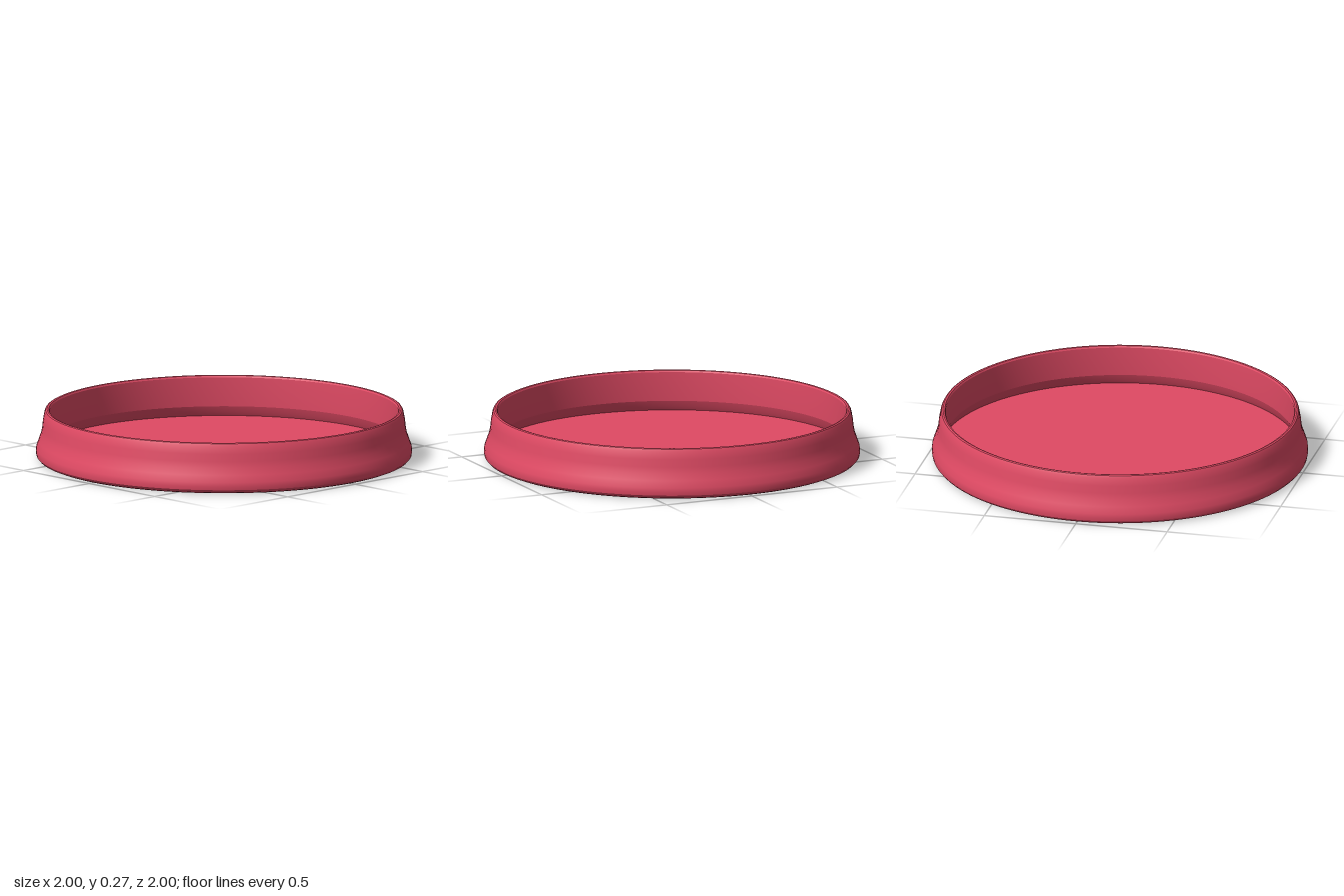
import * as THREE from 'three';
import { toCreasedNormals } from 'three/addons/utils/BufferGeometryUtils.js';

const SEGMENTS = 128;

export function createModel() {
  const group = new THREE.Group();
  group.name = 'dish';
  const red = new THREE.MeshStandardMaterial({ color: 0xe04a64 });
  red.name = 'red';

  const add = (name, geometry) => {
    const mesh = new THREE.Mesh(geometry, red);
    mesh.name = name;
    group.add(mesh);
    return mesh;
  };

  // Thin wall: rounded foot, flared skirt, rolled lip, then down the inside
  const profile = [
    [0.965, 0], [0.985, 0.008], [0.997, 0.022], [1, 0.04], [0.998, 0.063],
    [0.985, 0.1], [0.972, 0.137], [0.966, 0.17], [0.962, 0.21],
    [0.954, 0.252], [0.948, 0.264], [0.94, 0.268],
    [0.931, 0.266], [0.926, 0.257], [0.925, 0.18], [0.928, 0.1],
    [0.94, 0.068], [0.953, 0.045],
  ].map(([r, y]) => new THREE.Vector2(r, y));
  add('wall', toCreasedNormals(new THREE.LatheGeometry(profile, SEGMENTS), 0.3));

  // Flat inner floor and underside
  const floor = add('floor', new THREE.CircleGeometry(0.953, SEGMENTS));
  floor.rotation.x = -Math.PI / 2;
  floor.position.y = 0.045;
  const underside = add('underside', new THREE.CircleGeometry(0.965, SEGMENTS));
  underside.rotation.x = Math.PI / 2;

  return group;
}
